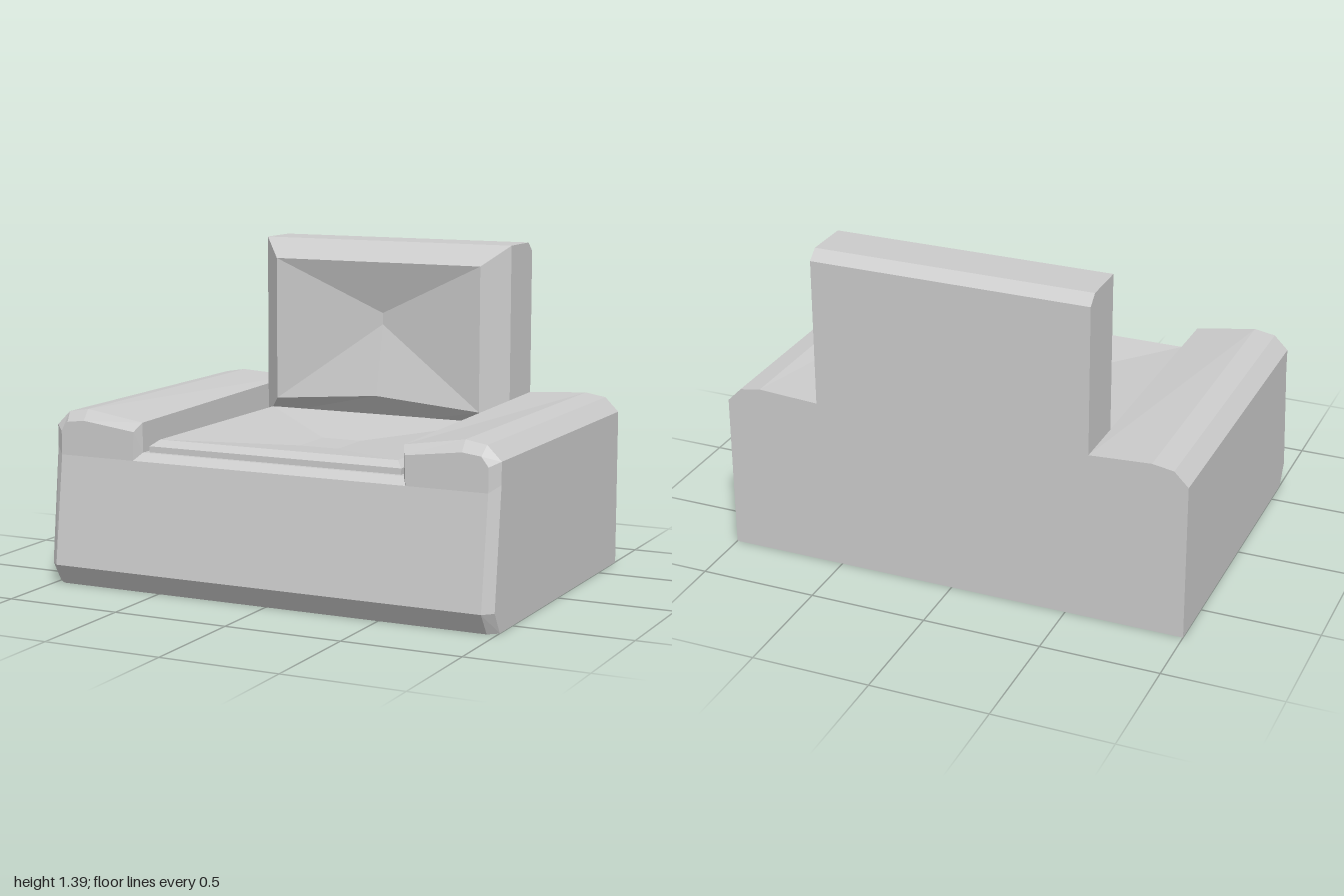
import * as THREE from 'three';

const material = new THREE.MeshStandardMaterial({ color: 0xcccccc, flatShading: true });

function meshFrom(name, triangles) {
  const geometry = new THREE.BufferGeometry();
  geometry.setAttribute('position', new THREE.Float32BufferAttribute(triangles.flat(2), 3));
  geometry.computeVertexNormals();
  const mesh = new THREE.Mesh(geometry, material);
  mesh.name = name;
  return mesh;
}

// Walls between rings of equal length, ordered from back to front
function loft(rings) {
  const out = [];
  for (let r = 0; r + 1 < rings.length; r++) {
    const a = rings[r], b = rings[r + 1];
    a.forEach((p, i) => {
      const j = (i + 1) % a.length;
      out.push([p, a[j], b[j]], [p, b[j], b[i]]);
    });
  }
  return out;
}

// Flat polygon in x/y facing +z (facing = 1) or -z (facing = -1)
function cap(ring, facing) {
  const contour = ring.map(p => new THREE.Vector2(p[0], p[1]));
  return THREE.ShapeUtils.triangulateShape(contour, []).map(face => {
    const [a, b, c] = face.map(i => ring[i]);
    const area = (b[0] - a[0]) * (c[1] - a[1]) - (b[1] - a[1]) * (c[0] - a[0]);
    return area * facing > 0 ? [a, b, c] : [a, c, b];
  });
}

// Mirrored outline from a +x half; the last point lies on the centre line
function mirrorRing(half) {
  return [...half, ...half.slice(0, -1).reverse().map(([x, y, z]) => [-x, y, z])];
}

// Base with both arms: outline swept from back to front, then a chamfered front
function createBody() {
  const half = [[1, 0, 0.63], [1, 0.09, 0.685], [1, 0.58, 0.63], [1, 0.67, 0.63],
    [0.94, 0.73, 0.63], [0.85, 0.745, 0.63], [0.59, 0.705, 0.625], [0.59, 0.58, 0.625], [0, 0.58, 0.625]];
  const inset = [[0.96, 0, 0.665], [0.96, 0.09, 0.725], [0.96, 0.55, 0.665], [0.96, 0.65, 0.665],
    [0.93, 0.69, 0.665], [0.85, 0.7, 0.665], [0.61, 0.67, 0.665], [0.615, 0.55, 0.665], [0, 0.55, 0.665]];
  const back = half.map(([x, y], i) => [x, i === 6 ? 0.73 : y, -0.725]);
  const rings = [back, half, inset].map(mirrorRing);
  const f = rings[2], n = f.length - 1;
  return meshFrom('bodyWithArms', [
    ...loft(rings), ...cap(rings[0], -1),
    ...cap([f[0], f[1], f[n - 1], f[n]], 1),       // lower front bevel
    ...cap([f[1], f[2], f[n - 2], f[n - 1]], 1),   // leaning front panel
    ...cap(f.slice(2, 8), 1), ...cap(f.slice(n - 7, n - 1), 1), // arm fronts
  ]);
}

// Bevelled cushion with a dished face that meets in a short ridge
function createCushion(name, sections, ridge) {
  const rings = sections.map(({ w, low, high, z, mid = low }) =>
    [[w, low, z], [w, high, z], [-w, high, z], [-w, low, z], [0, mid, z]]);
  const [br, tr, tl, bl, mid] = rings[rings.length - 1];
  const bottom = [0, ridge.low, ridge.z], top = [0, ridge.high, ridge.z];
  return meshFrom(name, [
    ...loft(rings), ...cap(rings[0], -1),
    [br, tr, top], [br, top, bottom], [tr, tl, top],
    [tl, bl, bottom], [tl, bottom, top], [bl, mid, bottom], [mid, br, bottom],
  ]);
}

export function createModel() {
  const model = new THREE.Group();
  model.name = 'armchair';
  model.add(createBody());

  model.add(createCushion('backrest', [
    { w: 0.59, low: 0.58, high: 1.355, z: -0.725 },
    { w: 0.59, low: 0.58, high: 1.395, z: -0.68 },
    { w: 0.59, low: 0.58, high: 1.395, z: -0.48 },
    { w: 0.49, low: 0.68, high: 1.31, z: -0.375, mid: 0.72 },
  ], { low: 1.03, high: 1.08, z: -0.445 }));

  // Seat is built upright, then laid flat
  const seat = createCushion('seatCushion', [
    { w: 0.57, low: -0.605, high: 0.46, z: 0.57 },
    { w: 0.57, low: -0.605, high: 0.46, z: 0.605 },
    { w: 0.54, low: -0.57, high: 0.43, z: 0.63 },
  ], { low: -0.11, high: -0.05, z: 0.57 });
  seat.geometry.rotateX(-Math.PI / 2);
  model.add(seat);
  return model;
}
